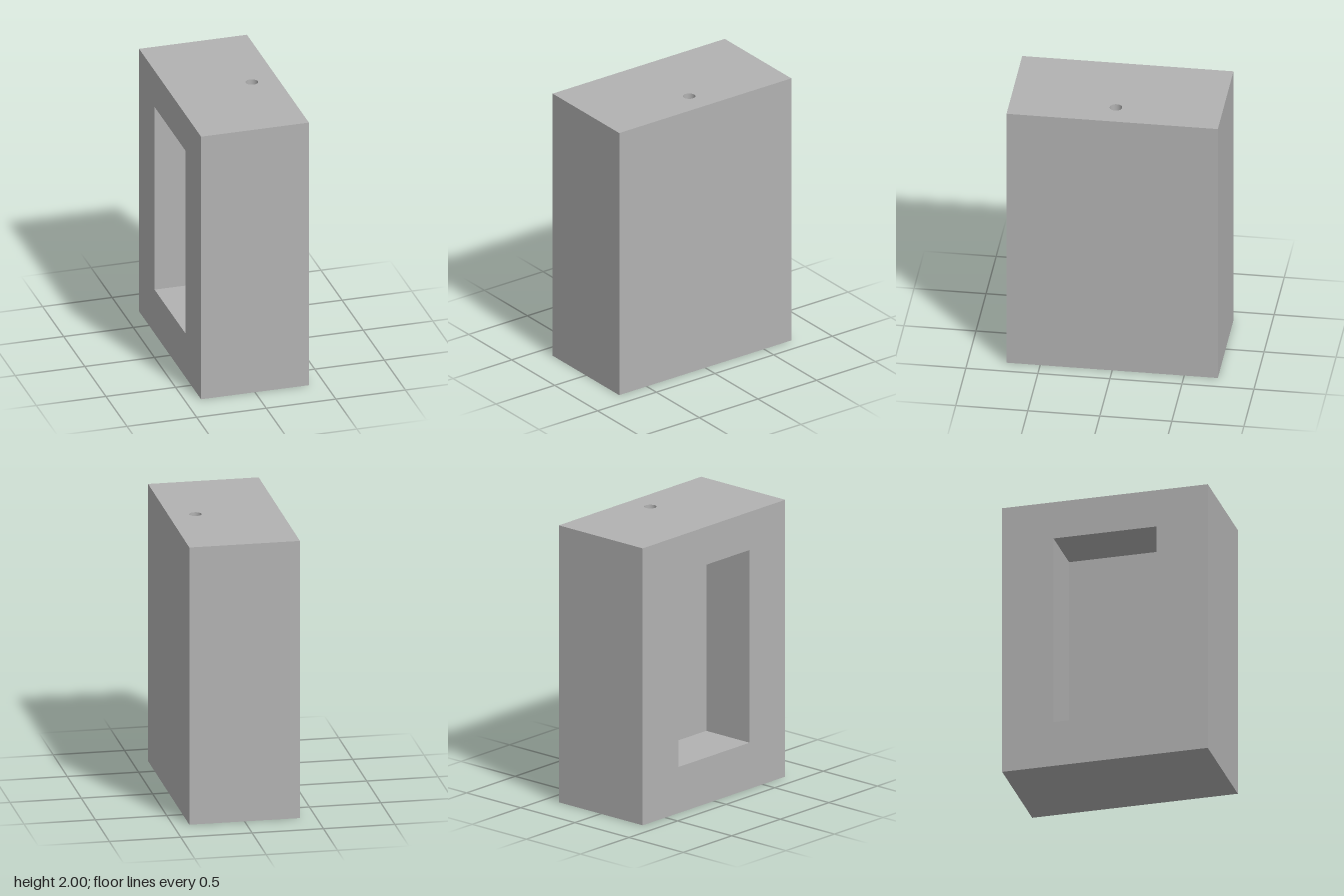
import * as THREE from 'three';

const W = 0.775, H = 2, D = 1.467;                        // outer block
const POCKET = { y0: 0.333, y1: 1.725, width: 0.734, depth: 0.4 };
const BORE = { x: 0.2, r: 0.043, depth: 0.5 };
const Q = Math.PI / 2;

// rotations that turn a +z facing panel towards each axis
const FACING = {
  front: [0, 0, 0], back: [0, Math.PI, 0],
  left: [0, Q, 0], right: [0, -Q, 0],
  up: [-Q, 0, 0], down: [Q, 0, 0],
};

export function createModel() {
  const grey = new THREE.MeshStandardMaterial({ color: 0xb2b2b2 });
  grey.name = 'plain grey';
  const model = new THREE.Group();
  model.name = 'pocketedBlock';

  const add = (parent, name, geometry, position, facing = 'front') => {
    const mesh = new THREE.Mesh(geometry, grey);
    mesh.name = name;
    mesh.position.set(...position);
    mesh.rotation.set(...FACING[facing]);
    parent.add(mesh);
  };
  const group = (name) => {
    const g = new THREE.Group();
    g.name = name;
    model.add(g);
    return g;
  };

  // flat rectangle, optionally pierced by a path
  const panel = (w, h, hole) => {
    const s = new THREE.Shape([[-1, -1], [1, -1], [1, 1], [-1, 1]]
      .map(([x, y]) => new THREE.Vector2(x * w / 2, y * h / 2)));
    if (hole) s.holes.push(hole);
    return new THREE.ShapeGeometry(s, 24);
  };

  const { y0, y1, width, depth } = POCKET;
  const midY = (y0 + y1) / 2, tall = y1 - y0;

  // outer walls
  const windowHole = new THREE.Path([[-1, y0], [-1, y1], [1, y1], [1, y0]]
    .map(([x, y]) => new THREE.Vector2(x * width / 2, y - H / 2)));
  const boreHole = new THREE.Path().absarc(BORE.x, 0, BORE.r, 0, Math.PI * 2, true);
  const body = group('body');
  add(body, 'frontWall', panel(W, H), [0, H / 2, D / 2], 'front');
  add(body, 'backWall', panel(W, H), [0, H / 2, -D / 2], 'back');
  add(body, 'leftWall', panel(D, H), [W / 2, H / 2, 0], 'left');
  add(body, 'rightWall', panel(D, H, windowHole), [-W / 2, H / 2, 0], 'right');
  add(body, 'top', panel(W, D, boreHole), [0, H, 0], 'up');
  add(body, 'base', panel(W, D), [0, 0, 0], 'down');

  // rectangular pocket sunk into the right wall
  const pocket = group('pocket');
  const px = -W / 2 + depth / 2;
  add(pocket, 'pocketEnd', panel(width, tall), [-W / 2 + depth, midY, 0], 'right');
  add(pocket, 'pocketFloor', panel(depth, width), [px, y0, 0], 'up');
  add(pocket, 'pocketCeiling', panel(depth, width), [px, y1, 0], 'down');
  add(pocket, 'pocketFrontSide', panel(depth, tall), [px, midY, width / 2], 'back');
  add(pocket, 'pocketBackSide', panel(depth, tall), [px, midY, -width / 2], 'front');

  // round hole drilled into the top; the descending profile faces inwards
  const bore = group('bore');
  const profile = [new THREE.Vector2(BORE.r, 0), new THREE.Vector2(BORE.r, -BORE.depth)];
  add(bore, 'boreWall', new THREE.LatheGeometry(profile, 48), [BORE.x, H, 0]);
  add(bore, 'boreFloor', new THREE.CircleGeometry(BORE.r, 48), [BORE.x, H - BORE.depth, 0], 'up');

  return model;
}
